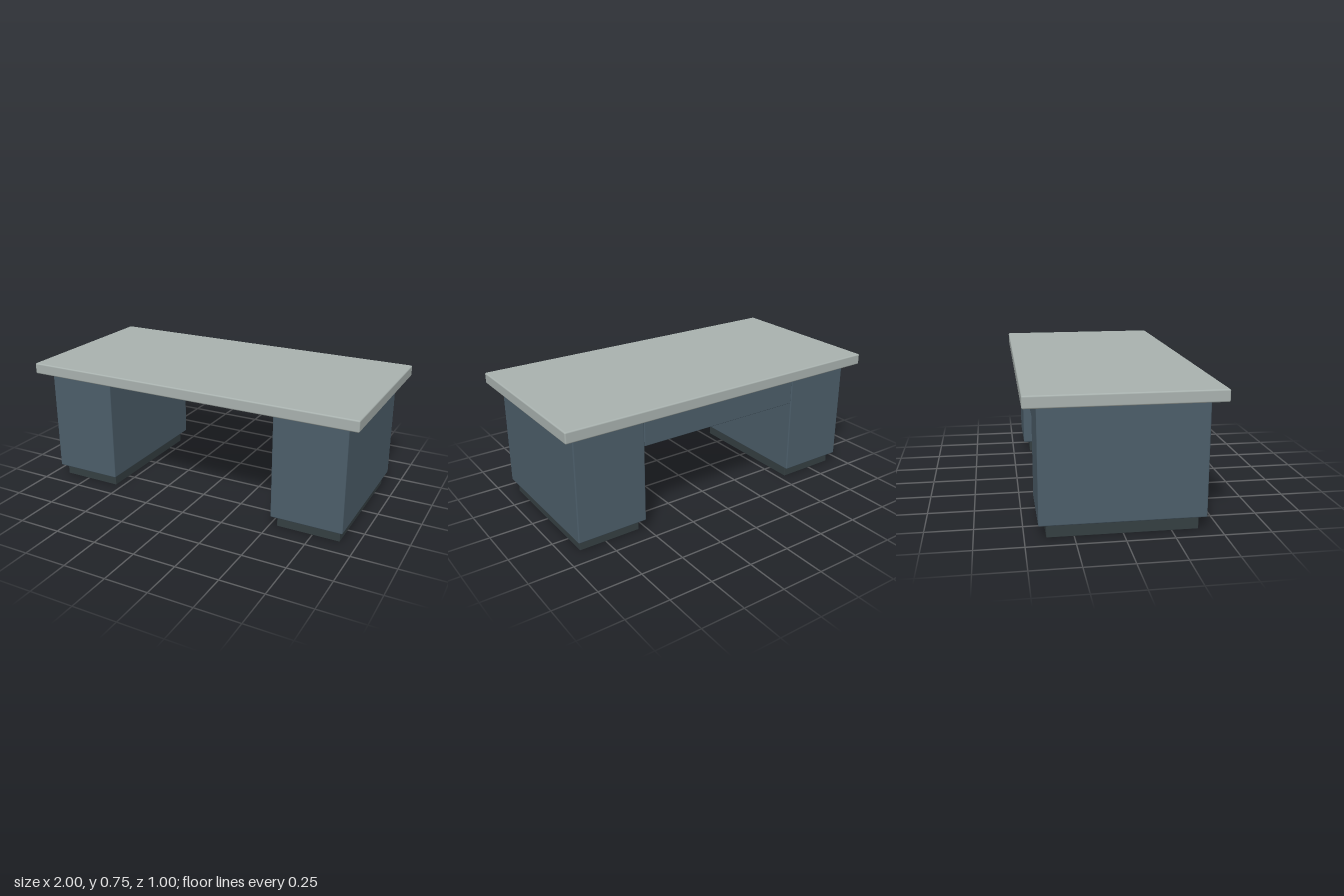
import * as THREE from 'three';
import { RoundedBoxGeometry } from 'three/addons/geometries/RoundedBoxGeometry.js';

function material(name, color) {
  const m = new THREE.MeshStandardMaterial({ color });
  m.name = name;
  return m;
}

export function createModel() {
  const desk = new THREE.Group();
  desk.name = 'desk';
  const topGrey = material('pale grey top', 0xa9b2af);
  const slateBlue = material('slate blue body', 0x4c5e6a);
  const darkGrey = material('dark grey plinth', 0x353f42);

  // Softened box given by its lower and upper corners
  const box = (name, mat, [x0, y0, z0], [x1, y1, z1], radius) => {
    const geo = new RoundedBoxGeometry(x1 - x0, y1 - y0, z1 - z0, 2, radius);
    const mesh = new THREE.Mesh(geo, mat);
    mesh.name = name;
    mesh.position.set((x0 + x1) / 2, (y0 + y1) / 2, (z0 + z1) / 2);
    desk.add(mesh);
    return mesh;
  };

  // Worktop
  box('worktop', topGrey, [-1, 0.686, -0.5], [1, 0.75, 0.5], 0.008);

  // Pedestals on recessed plinths, mirrored left and right
  for (const [side, s] of [['left', 1], ['right', -1]]) {
    const xs = (a, b) => (s > 0 ? [a, b] : [-b, -a]);
    const [p0, p1] = xs(0.516, 0.93);
    const [b0, b1] = xs(0.542, 0.906);
    box(side + 'Pedestal', slateBlue, [p0, 0.07, -0.43], [p1, 0.685, 0.43], 0.007);
    box(side + 'Plinth', darkGrey, [b0, 0, -0.39], [b1, 0.07, 0.39], 0.003);
  }

  // Rear panel bridging the pedestals just below the worktop
  box('rearPanel', slateBlue, [-0.515, 0.515, -0.428], [0.515, 0.676, -0.362], 0.005);

  return desk;
}
